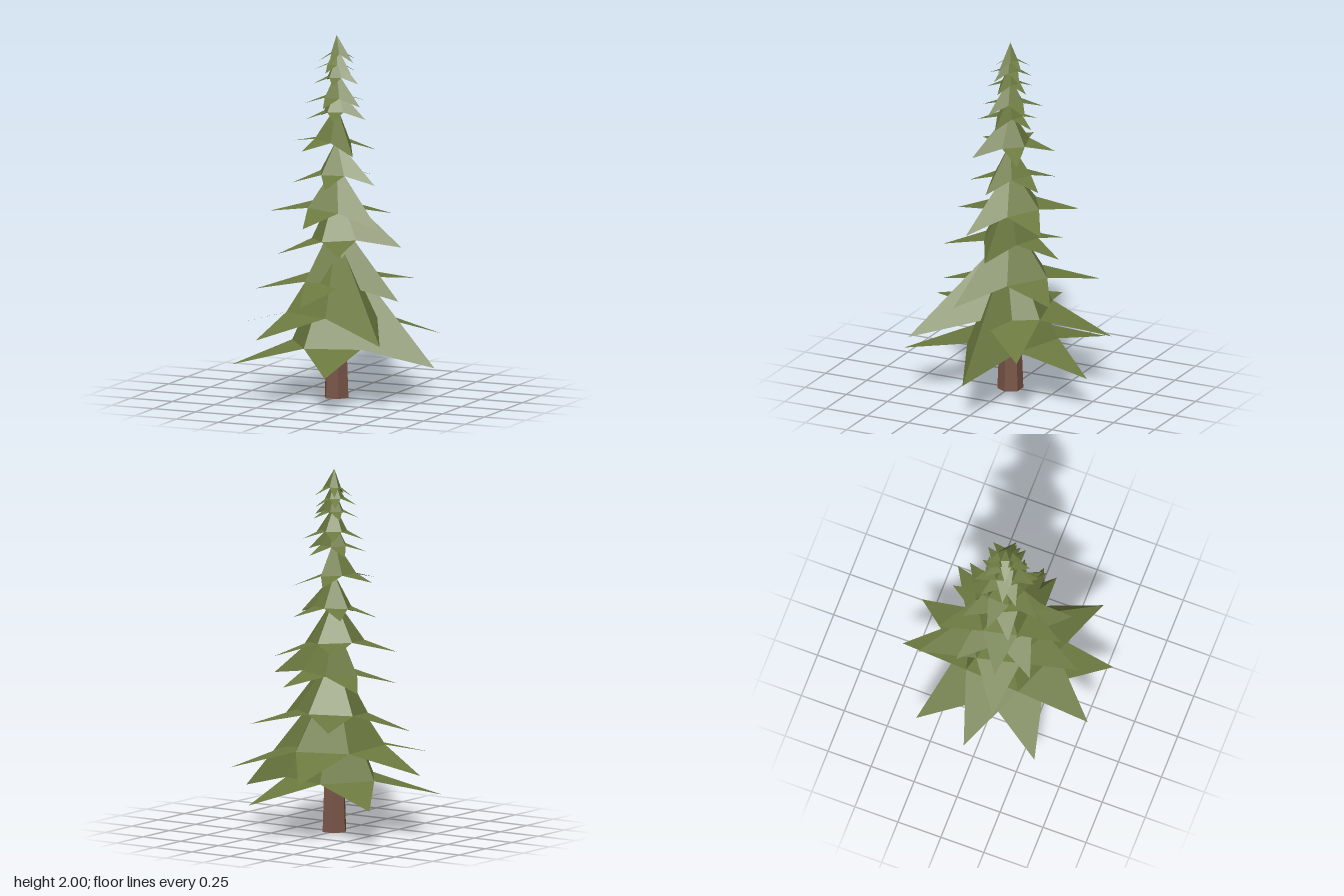
import * as THREE from 'three';

const foliage = new THREE.MeshStandardMaterial({ color: 0x6c7a40, flatShading: true, side: THREE.DoubleSide });
foliage.name = 'pine green';
const bark = new THREE.MeshStandardMaterial({ color: 0x7a5548, flatShading: true });
bark.name = 'bark brown';

const SIDES = 5;
const AXIS_X = 0.004;

// Tiers: apex height, ring height, tip height, ring radius, tip radius,
// angle of the first tip (degrees from +x towards +z), tilt along x, tilt along z
const TIERS = [
  [0.87, 0.30, 0.20, 0.265, 0.585, 0, 0, 0],
  [0.91, 0.47, 0.36, 0.265, 0.585, 40.5, -0.01, 0.04],
  [1.00, 0.66, 0.59, 0.205, 0.46, 21, 0, -0.075],
  [1.17, 0.88, 0.825, 0.16, 0.355, -5, 0.06, 0],
  [1.29, 1.05, 0.99, 0.16, 0.355, 22, -0.08, -0.045],
  [1.42, 1.24, 1.19, 0.11, 0.245, 10, 0, -0.05],
  [1.61, 1.42, 1.375, 0.105, 0.24, 39, -0.09, 0],
  [1.71, 1.58, 1.54, 0.075, 0.172, 0, 0.02, 0.04],
  [1.80, 1.66, 1.62, 0.075, 0.175, 20, 0, -0.03],
  [1.88, 1.77, 1.735, 0.057, 0.132, 5, 0.02, 0],
  [1.94, 1.84, 1.80, 0.05, 0.12, 20, -0.04, 0.04],
  [2.00, 1.90, 1.855, 0.042, 0.108, 15, 0.02, -0.05],
];

// An open cone with a drooping spike on each edge of its lower ring;
// the first spike is folded along a ridge running straight from the apex
function tierGeometry([apexY, ringY, tipY, ringR, tipR, startDeg, tiltX, tiltZ]) {
  // Each point swings about the apex by the tilt
  const point = (r, y, angle) => {
    const x = r * Math.cos(angle), z = r * Math.sin(angle), drop = apexY - y;
    return [x + tiltX * drop, y + tiltX * x + tiltZ * z, z + tiltZ * drop];
  };
  const apex = [0, apexY, 0];
  const step = (Math.PI * 2) / SIDES;
  const start = THREE.MathUtils.degToRad(startDeg);
  const positions = [];
  for (let i = 0; i < SIDES; i++) {
    const mid = start + i * step;
    const a = point(ringR, ringY, mid - step / 2);
    const b = point(ringR, ringY, mid + step / 2);
    const tip = point(tipR, tipY, mid);
    if (i === 0) {
      positions.push(...apex, ...tip, ...a, ...apex, ...b, ...tip); // ridged spike
    } else {
      positions.push(...apex, ...b, ...a, ...a, ...b, ...tip); // cone side and flat spike
    }
  }
  const geometry = new THREE.BufferGeometry();
  geometry.setAttribute('position', new THREE.Float32BufferAttribute(positions, 3));
  geometry.computeVertexNormals();
  return geometry;
}

export function createModel() {
  const tree = new THREE.Group();
  tree.name = 'pineTree';

  // Tapered six-sided trunk
  const height = 1.6;
  const trunk = new THREE.Mesh(
    new THREE.CylinderGeometry(0.008, 0.071, height, 6, 1, false, Math.PI / 6), bark);
  trunk.name = 'trunk';
  trunk.position.set(AXIS_X, height / 2, 0);
  tree.add(trunk);

  // Branch tiers, bottom to top
  const branches = new THREE.Group();
  branches.name = 'branches';
  branches.position.x = AXIS_X;
  TIERS.forEach((tier, i) => {
    const mesh = new THREE.Mesh(tierGeometry(tier), foliage);
    mesh.name = `branchTier${i + 1}`;
    branches.add(mesh);
  });
  tree.add(branches);
  return tree;
}
